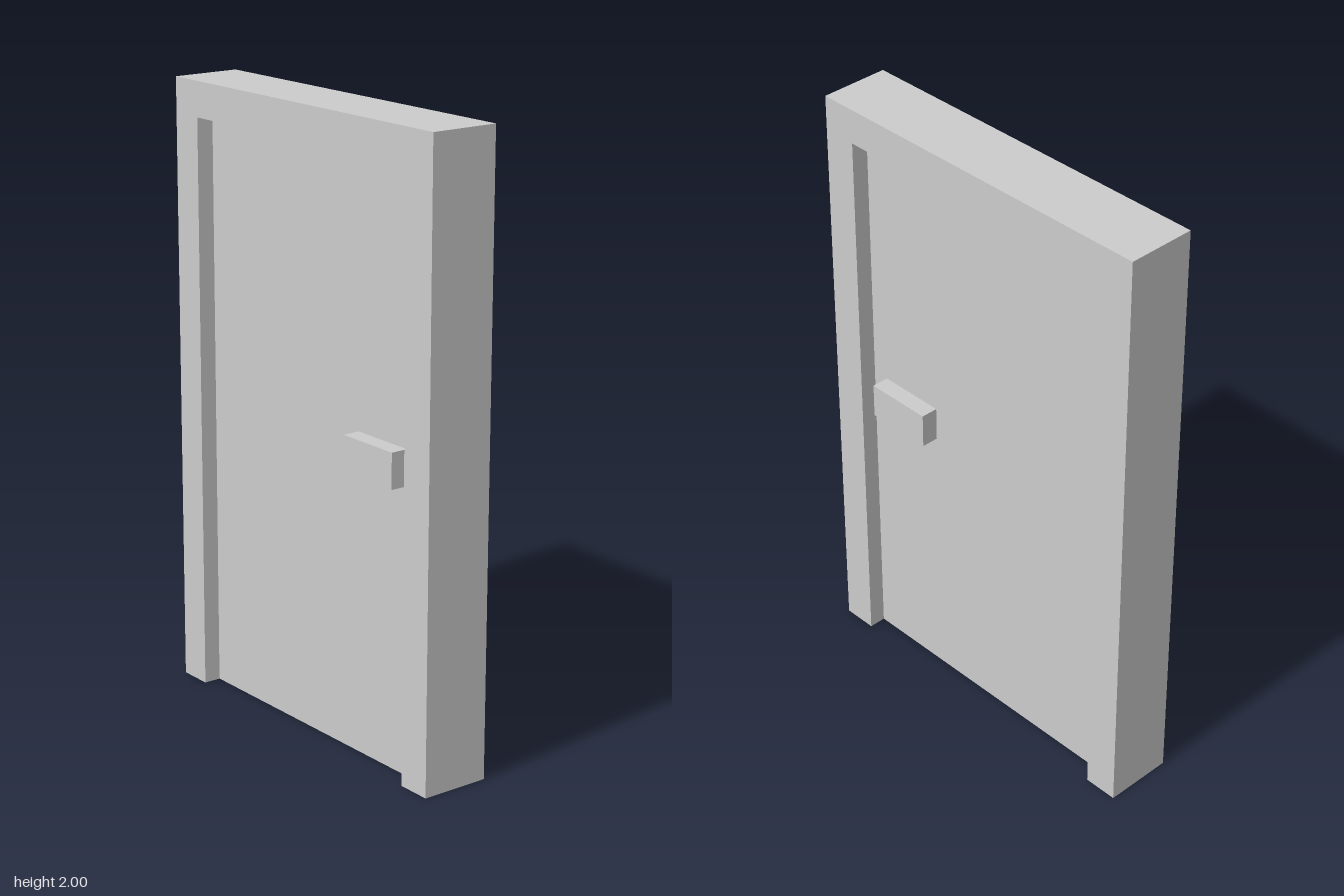
import * as THREE from 'three';

const U = 2 / 35; // module size: the door is 35 units tall

export function createModel() {
  const model = new THREE.Group();
  const material = new THREE.MeshStandardMaterial({ color: 0xcccccc, flatShading: true });

  function add(name, geometry, x, y, z) {
    const mesh = new THREE.Mesh(geometry, material);
    mesh.name = name;
    mesh.position.set(x, y, z);
    model.add(mesh);
  }

  // Frame: two jambs and a lintel in one piece, open at the bottom
  const w = 11 * U, inner = 9 * U, top = 35 * U, innerTop = 33 * U, depth = 4 * U;
  const outline = new THREE.Shape([
    [-w, 0], [-inner, 0], [-inner, innerTop], [inner, innerTop],
    [inner, 0], [w, 0], [w, top], [-w, top],
  ].map(([x, y]) => new THREE.Vector2(x, y)));
  add('doorFrame', new THREE.ExtrudeGeometry(outline, { depth, bevelEnabled: false }), 0, 0, -depth / 2);

  // Door leaf, recessed equally on both sides
  add('doorLeaf', new THREE.BoxGeometry(inner * 2, innerTop, 2 * U), 0, innerTop / 2, 0);

  // Block handles, flush with the frame faces
  for (const [name, side] of [['frontHandle', 1], ['backHandle', -1]]) {
    add(name, new THREE.BoxGeometry(4 * U, 2 * U, U), 6 * U, 17.1 * U, side * 1.5 * U);
  }

  return model;
}
